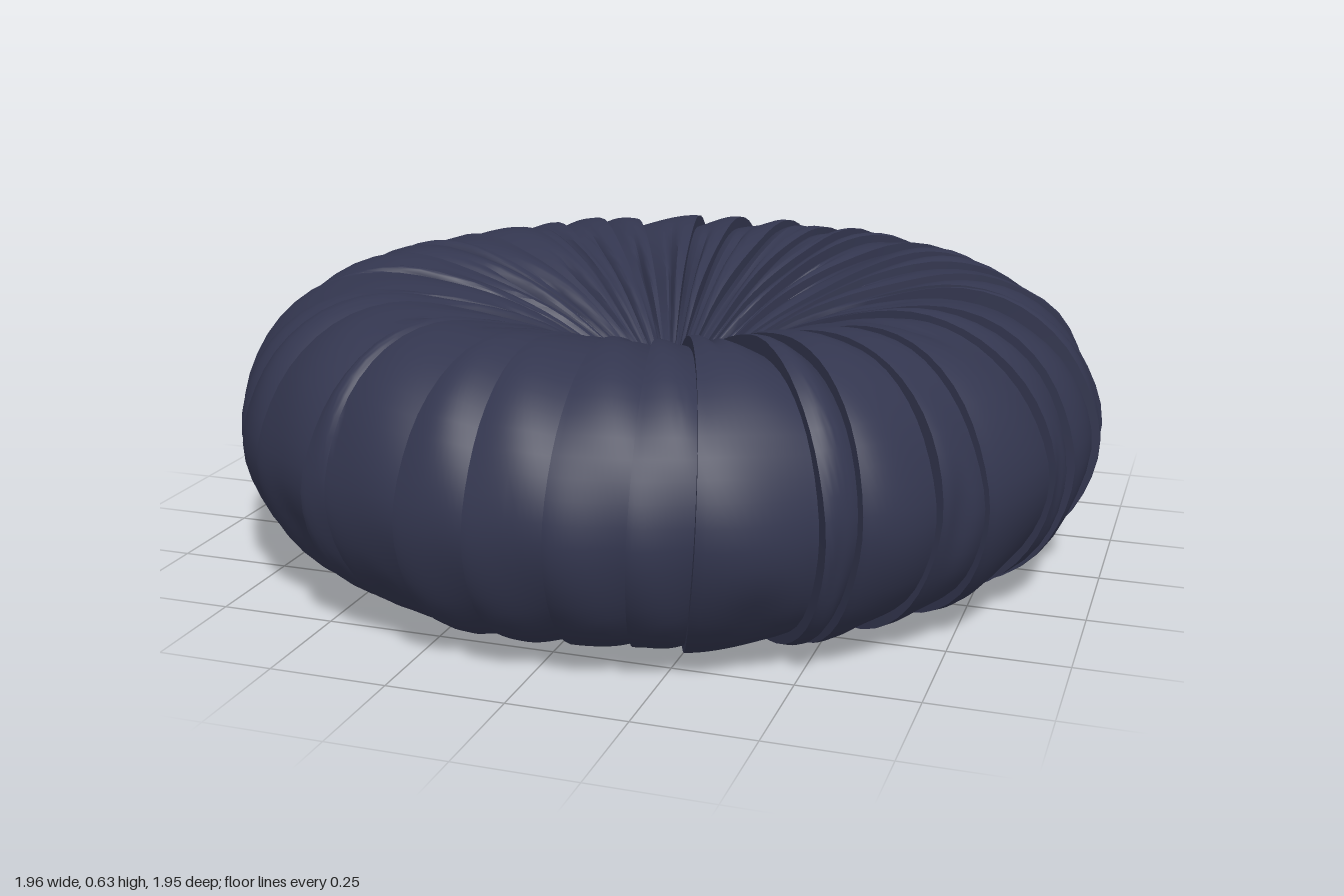
import * as THREE from 'three';
import { toCreasedNormals } from 'three/addons/utils/BufferGeometryUtils.js';

const PLEATS = 38, COLS = 13, ROWS = 56;

function seeded(seed) {
  return () => {
    seed = (seed * 16807) % 2147483647;
    return seed / 2147483647;
  };
}

// Half section (radius, height) from the top tuft round the rim to the bottom tuft
const section = new THREE.CatmullRomCurve3([
  [0.005, 0.36], [0.06, 0.375], [0.16, 0.44], [0.3, 0.52], [0.48, 0.59], [0.66, 0.62],
  [0.8, 0.585], [0.91, 0.49], [0.968, 0.325], [0.91, 0.155], [0.8, 0.06],
  [0.66, 0.027], [0.48, 0.055], [0.3, 0.125], [0.16, 0.205], [0.06, 0.27], [0.005, 0.285],
].map(([r, y]) => new THREE.Vector3(r, y, 0)));

function createPleats(material) {
  const rand = seeded(4711);
  const rows = [];
  for (let j = 0; j <= ROWS; j++) {
    const p = section.getPointAt(j / ROWS), t = section.getTangentAt(j / ROWS);
    rows.push({ r: p.x, y: p.y, nr: -t.y, ny: t.x, s: j / ROWS });
  }

  // Uneven fold lines that wander a little on their way round the rim
  const folds = [];
  for (let i = 0; i < PLEATS; i++) {
    folds.push({
      angle: ((i + (rand() - 0.5) * 0.65) / PLEATS) * Math.PI * 2,
      sway: 0.012 + rand() * 0.022, phase: rand() * 6.28, freq: 4 + rand() * 4,
    });
  }
  const foldAngle = (i, s) => {
    const f = folds[i % PLEATS], turn = i >= PLEATS ? Math.PI * 2 : 0;
    return turn + f.angle + f.sway * Math.sin(f.freq * s + f.phase);
  };

  const pos = [], index = [];
  for (let i = 0; i < PLEATS; i++) {
    const lift = 0.016 + rand() * 0.018;
    const phase = rand() * 6.28;
    const tuck = 0.3 + rand() * 0.4, tuckEnd = 0.45 + rand() * 0.35;
    const dent = { s: 0.3 + rand() * 0.4, t: 0.4 + rand() * 0.5, d: rand() * 0.018 };
    const start = pos.length / 3;
    for (const { r, y, nr, ny, s } of rows) {
      const a0 = foldAngle(i, s), a1 = foldAngle(i + 1, s);
      const taper = THREE.MathUtils.smoothstep(r, 0, 0.35);
      for (let k = 0; k <= COLS; k++) {
        const hem = k === COLS;                       // last column turns under the lap
        const t = Math.min(k / (COLS - 1), 1);
        const angle = a0 + (a1 - a0) * t * 1.05;
        let h = lift * (Math.sin(t * Math.PI * 0.62) - 0.55);
        h += 0.004 * Math.sin(s * 27 + t * 4 + phase);
        // Short gather that fades out towards the rim
        h -= 0.022 * Math.exp(-(((t - tuck) / 0.09) ** 2)) * (1 - THREE.MathUtils.smoothstep(r, tuckEnd - 0.25, tuckEnd));
        // Soft dent near the rim
        h -= dent.d * Math.exp(-(((s - dent.s) / 0.035) ** 2) - ((t - dent.t) / 0.25) ** 2);
        if (hem) h -= 0.045;
        h *= taper;
        const R = Math.max(r + nr * h, 0.002);
        pos.push(R * Math.cos(angle), y + ny * h, R * Math.sin(angle));
      }
    }
    const w = COLS + 1;
    for (let j = 0; j < ROWS; j++) {
      for (let k = 0; k < COLS; k++) {
        const a = start + j * w + k, b = a + 1, c = a + w, d = c + 1;
        index.push(a, b, c, b, d, c);
      }
    }
  }
  const geometry = new THREE.BufferGeometry();
  geometry.setAttribute('position', new THREE.Float32BufferAttribute(pos, 3));
  geometry.setIndex(index);
  const mesh = new THREE.Mesh(toCreasedNormals(geometry, 0.8), material);
  mesh.name = 'pleatedCover';
  return mesh;
}

export function createModel() {
  const group = new THREE.Group();
  group.name = 'roundCushion';
  const fabric = new THREE.MeshStandardMaterial({ color: 0x33364f, side: THREE.DoubleSide });
  group.add(createPleats(fabric));

  // Covered buttons in the two tufts
  for (const [name, y] of [['topButton', 0.378], ['bottomButton', 0.268]]) {
    const button = new THREE.Mesh(new THREE.SphereGeometry(0.047, 24, 16), fabric);
    button.scale.y = 0.5;
    button.position.y = y;
    button.name = name;
    group.add(button);
  }
  return group;
}
